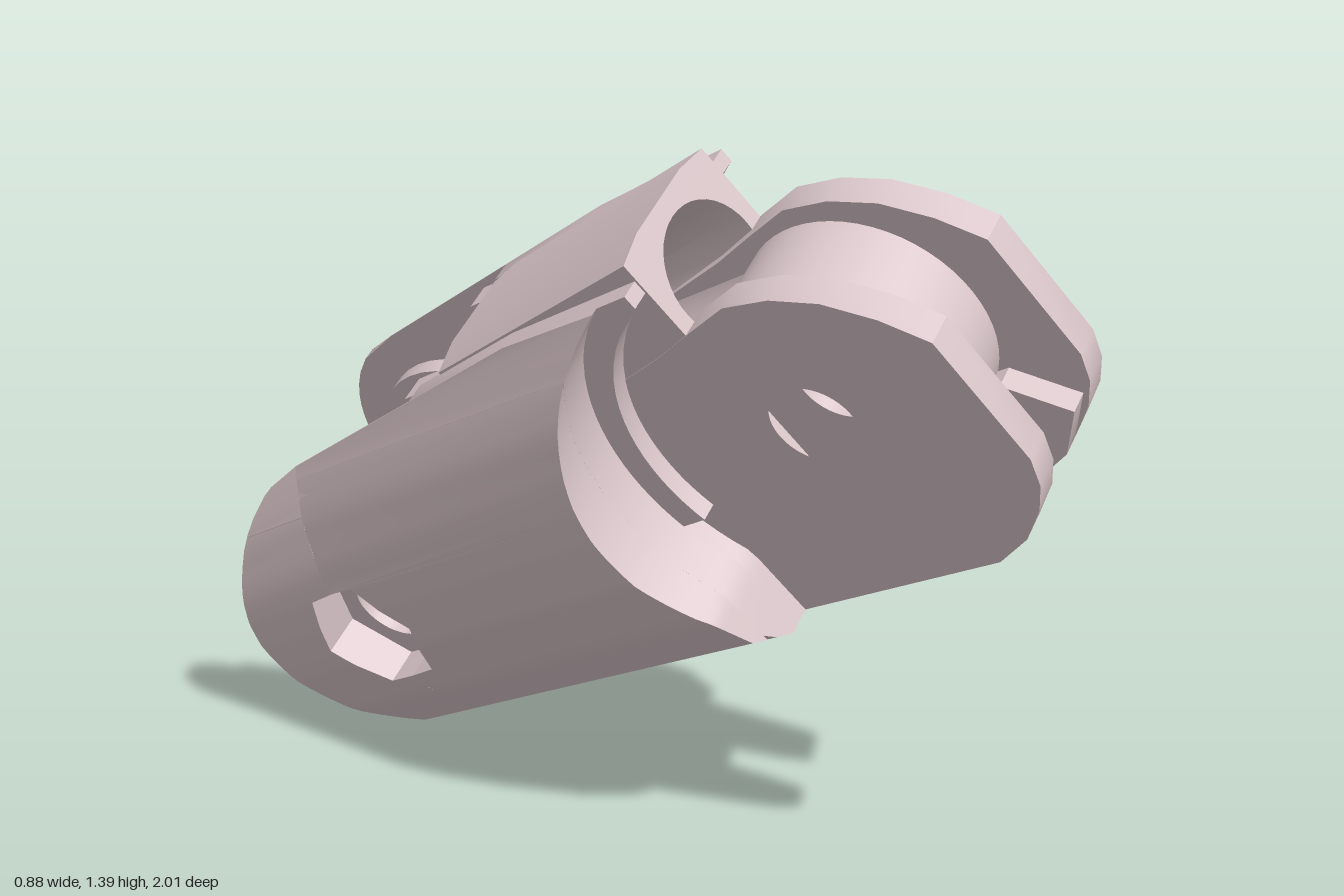
import * as THREE from 'three';
import { toCreasedNormals } from 'three/addons/utils/BufferGeometryUtils.js';

// Local frame: x = hinge axis, z = along the link, origin at the front hinge.
const BACK = -1.27, BACK_Y = -0.03, EAR = 0.36, LEDGE = 0.207;
const EAR_TOP = BACK_Y + EAR, EAR_LOW = BACK_Y - EAR;
const arc = (r, y) => Math.sqrt(Math.max(0, r * r - y * y));
const lerp = (a, b, t) => a + (b - a) * t;

// half width of the body at height y, narrowing along the top towards the back
const PROFILE = [[-0.4, 0.23], [-0.33, 0.32], [-0.22, 0.365], [-0.08, 0.387], [0.05, 0.385],
  [0.14, 0.374], [0.22, 0.355], [0.29, 0.328], [0.345, 0.295], [0.39, 0.252], [0.43, 0.209]];
function halfWidth(height, z) {
  const y = height + 0.1 * Math.min(1, Math.max(0, height / 0.2)) * Math.min(1, -z / 1.27);
  for (let i = 1; i < PROFILE.length; i++) {
    const [y0, w0] = PROFILE[i - 1], [y1, w1] = PROFILE[i];
    if (y <= y1) return lerp(w0, w1, (y - y0) / (y1 - y0));
  }
  return 0.209;
}
// rounded ear end, running into the slightly tapered top and bottom
function backEnd(y) {
  if (y > EAR_TOP) return lerp(BACK, -0.12, (y - EAR_TOP) / (0.43 - EAR_TOP));
  if (y < EAR_LOW) return lerp(BACK, -0.9, (EAR_LOW - y) / (EAR_LOW + 0.4));
  return BACK - arc(EAR, y - BACK_Y);
}
const shellFront = (y) => (y < -0.23 ? -0.375 : -arc(0.44, y));
const ledgeFront = (y) => (y < -0.1 ? shellFront(y) - 0.002 : Math.min(-0.105, -arc(0.38, y)));
const roundHole = (r) => (y) => arc(r, y - BACK_Y);
const hexHole = (r) => (y) => Math.max(0, Math.abs(y - BACK_Y) < r * 0.866 ? r - Math.abs(y - BACK_Y) / Math.sqrt(3) : 0);

function levels(lo, hi, r = 0) {
  const ys = [EAR_LOW, EAR_TOP, -0.1, -0.101];
  for (let i = 0; i <= 28; i++) ys.push(lerp(lo, hi, i / 28));
  for (let i = 0; i <= 12; i++) ys.push(BACK_Y + r * Math.cos(i * Math.PI / 12));
  return ys.filter((y) => y >= lo && y <= hi).sort((a, b) => a - b);
}

// stack of four-sided sections along y; side = -1 mirrors it
function stack(ys, z0, z1, x0, x1, side) {
  const pos = [], idx = [], n = ys.length;
  const tri = (a, b, c) => (side > 0 ? idx.push(a, b, c) : idx.push(a, c, b));
  for (const y of ys) {
    const b = z1(y), a = Math.min(z0(y), b);
    for (const [x, z] of [[x0, a], [x1, a], [x1, b], [x0, b]]) pos.push(side * x(y, z), y, z);
  }
  for (let i = 0; i < n - 1; i++) for (let k = 0; k < 4; k++) {
    const a = i * 4 + k, b = i * 4 + (k + 1) % 4;
    tri(a, a + 4, b + 4);
    tri(a, b + 4, b);
  }
  const t = (n - 1) * 4;
  tri(0, 1, 2); tri(0, 2, 3);
  tri(t, t + 2, t + 1); tri(t, t + 3, t + 2);
  const g = new THREE.BufferGeometry();
  g.setAttribute('position', new THREE.Float32BufferAttribute(pos, 3));
  g.setIndex(idx);
  return g;
}

function outline(points, holes = []) {
  const s = new THREE.Shape(points.map(([a, b]) => new THREE.Vector2(a, b)));
  for (const [a, b, r] of holes) s.holes.push(new THREE.Path().absarc(a, b, r, 0, Math.PI * 2, true));
  return s;
}
const extrude = (shape, depth) =>
  new THREE.ExtrudeGeometry(shape, { depth, bevelEnabled: false, curveSegments: 20 });
// side outline given as (-z, y), extruded along x
const plate = (shape, x0, x1) => extrude(shape, x1 - x0).rotateY(Math.PI / 2).translate(x0, 0, 0);
// cross-section given as (x, y), extruded along z
const bar = (shape, z0, z1) => extrude(shape, z1 - z0).translate(0, 0, z0);
const rect = (a, b, c, d) => [[a, c], [b, c], [b, d], [a, d]];

export function createModel() {
  const model = new THREE.Group();
  const link = new THREE.Group();
  link.name = 'fingerLink';
  model.add(link);
  const shell = new THREE.MeshStandardMaterial({ color: 0xdcc8cc });
  shell.name = 'pale pink plastic';
  const add = (name, geo) => {
    const mesh = new THREE.Mesh(toCreasedNormals(geo, 0.5), shell);
    mesh.name = name;
    link.add(mesh);
  };
  const split = (y, z) => Math.min(0.29, halfWidth(y, z));

  for (const s of [1, -1]) {
    const side = s > 0 ? 'left' : 'right';
    // outer shell with ear: bolt hole layer, then countersunk or hexagonal layer
    const layers = [
      ['InnerShell', -0.4, 0.43, 0.085, roundHole(0.085), () => LEDGE, split],
      ['OuterShell', -0.355, 0.352, s > 0 ? 0.15 : 0.13, s > 0 ? roundHole(0.15) : hexHole(0.15), split, halfWidth],
    ];
    for (const [name, lo, hi, r, hole, x0, x1] of layers) {
      add(side + name + 'End', stack(levels(Math.max(lo, EAR_LOW), Math.min(hi, EAR_TOP), r),
        backEnd, (y) => BACK - hole(y), x0, x1, s));
      add(side + name, stack(levels(lo, hi, r), (y) => Math.max(backEnd(y), BACK + hole(y)), shellFront, x0, x1, s));
    }
    // stepped ledge in front of the shell
    add(side + 'Ledge', stack(levels(-0.4, 0.43), (y) => Math.max(-0.87, backEnd(y)), ledgeFront,
      () => 0.16, () => LEDGE + 0.001, s));
    // raised disc inside the ear
    const disc = new THREE.Shape().absarc(-BACK, BACK_Y, 0.27, 0, Math.PI * 2);
    disc.holes.push(new THREE.Path().absarc(-BACK, BACK_Y, 0.085, 0, Math.PI * 2, true));
    add(side + 'EarDisc', s > 0 ? plate(disc, 0.168, 0.21) : plate(disc, -0.21, -0.168));
    // front lug
    const lug = outline([[0.45, -0.4], [0.45, 0.2], [0.2, 0.24], [0.09, 0.265], [-0.02, 0.288], [-0.12, 0.27],
      [-0.21, 0.228], [-0.29, 0.16], [-0.353, 0.083], [-0.353, -0.2], [-0.33, -0.26], [-0.29, -0.31],
      [-0.22, -0.365], [-0.13, -0.4]].reverse(), [[0, 0, 0.09]]);
    add(side + 'Lug', s > 0 ? plate(lug, 0.1, 0.1675) : plate(lug, -0.1675, -0.1));
    // window cheek
    const cheek = outline(s > 0 ? rect(0.11, 0.17, 0.1, 0.36) : rect(-0.17, -0.11, 0.1, 0.36));
    add(side + 'WindowCheek', bar(cheek, -0.86, -0.7));
  }

  // drum between the lugs, and the thicker foot of the left lug
  const drum = new THREE.Shape();
  drum.moveTo(0.3, -0.22).lineTo(0.3, 0.15).lineTo(0.2, 0.15);
  drum.absarc(0, 0, 0.25, Math.atan2(0.15, 0.2), Math.PI * 1.5 + 0.3, false);
  drum.holes.push(new THREE.Path().absarc(0, 0, 0.09, 0, Math.PI * 2, true));
  add('drum', plate(drum, -0.05, 0.103));
  const foot = outline([[0.3, -0.4], [0.3, -0.18], [-0.2, -0.18], [-0.3, -0.28], [-0.22, -0.365], [-0.13, -0.4]].reverse());
  add('lugFoot', plate(foot, 0.05, 0.103));

  // web joining both sides, with a cord hole at the back
  const web = rect(-0.166, 0.166, -0.4, 0.14);
  add('webFront', bar(outline(web), -0.6, -0.2));
  add('webBack', bar(outline(web, [[0, 0, 0.055]]), -0.86, -0.6));
  add('windowFloor', bar(outline(rect(-0.112, 0.112, 0.1, 0.27)), -0.82, -0.45));

  // hood with a bore, sloping down towards the back
  const hood = bar(outline([[-0.166, 0.1], [0.166, 0.1], [0.166, 0.436], [0.09, 0.45], [-0.09, 0.45],
    [-0.166, 0.436]], [[0, 0.28, 0.13]]), -0.72, -0.1);
  const p = hood.attributes.position;
  for (let i = 0; i < p.count; i++) {
    if (p.getY(i) > 0.3) p.setY(i, p.getY(i) + (p.getZ(i) + 0.1) * 0.085);
  }
  add('hood', hood);

  // lean the link into its pose
  const forward = new THREE.Vector3(-0.01, 0.41, 0.91).normalize();
  const across = new THREE.Vector3(0.827, 0.507, -0.22);
  across.addScaledVector(forward, -across.dot(forward)).normalize();
  const up = new THREE.Vector3().crossVectors(forward, across);
  link.quaternion.setFromRotationMatrix(new THREE.Matrix4().makeBasis(across, up, forward));
  link.position.set(-0.012, 1.022, 0.577);
  return model;
}
